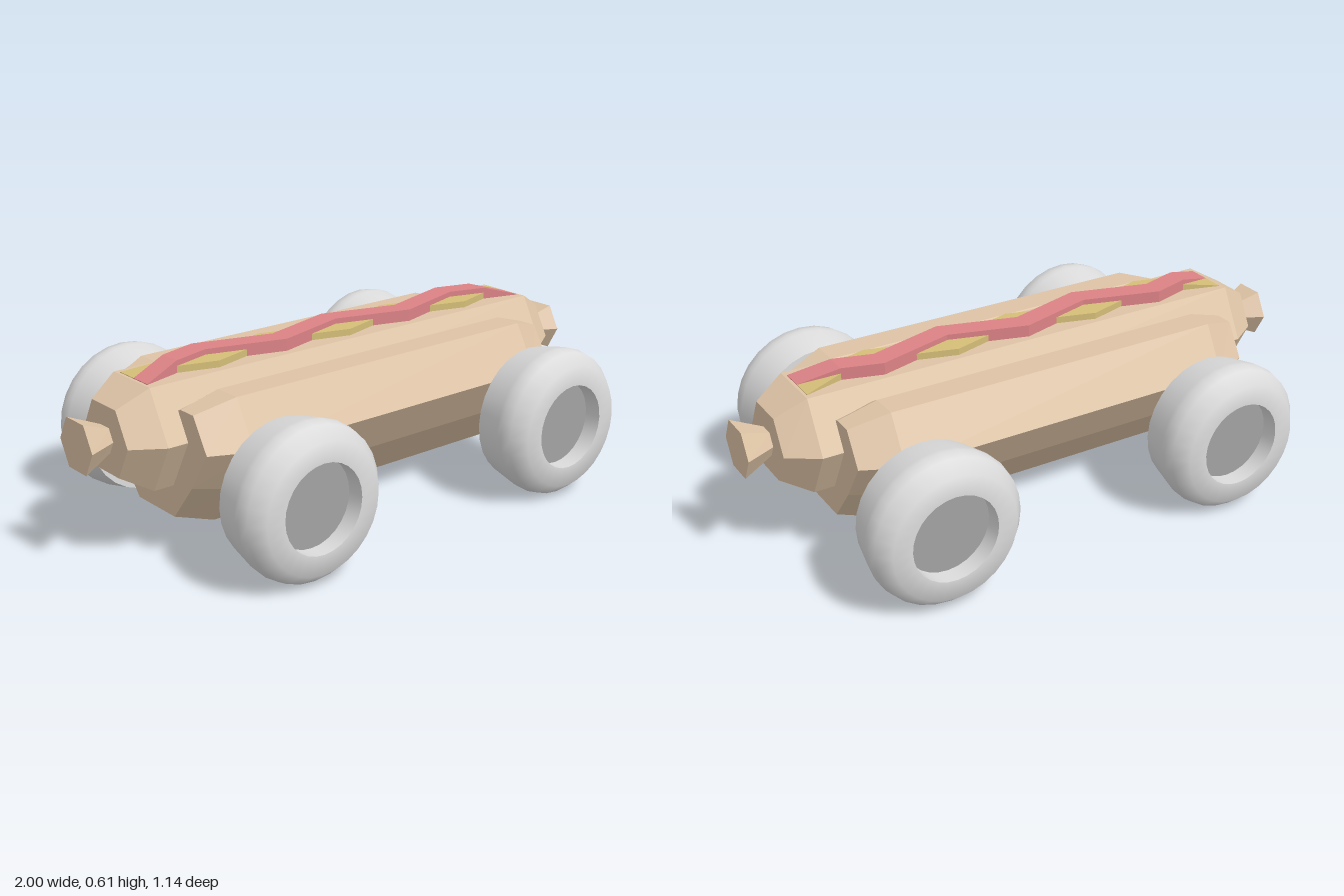
import * as THREE from 'three';
import { toCreasedNormals } from 'three/addons/utils/BufferGeometryUtils.js';

const mat = (name, color, flatShading = false) => {
  const m = new THREE.MeshStandardMaterial({ color, flatShading });
  m.name = name;
  return m;
};

// Skin a row of cross-sections { x, pts: [[z, y], ...] } and close both ends.
function loft(sections) {
  const v = [];
  const put = (...corners) => corners.forEach(([x, [z, y]]) => v.push(x, y, z));
  const n = sections[0].pts.length;
  for (let i = 0; i < sections.length - 1; i++) {
    const s = sections[i], t = sections[i + 1];
    for (let j = 0; j < n; j++) {
      const k = (j + 1) % n;
      const a = [s.x, s.pts[j]], b = [t.x, t.pts[j]], c = [t.x, t.pts[k]], d = [s.x, s.pts[k]];
      put(a, b, c, a, c, d);
    }
  }
  [sections[0], sections[sections.length - 1]].forEach(({ x, pts }, end) => {
    const mid = [0, 1].map((q) => pts.reduce((sum, p) => sum + p[q], 0) / n);
    for (let j = 0; j < n; j++) {
      const k = (j + 1) % n;
      put([x, mid], [x, pts[end ? k : j]], [x, pts[end ? j : k]]);
    }
  });
  const g = new THREE.BufferGeometry();
  g.setAttribute('position', new THREE.Float32BufferAttribute(v, 3));
  g.computeVertexNormals();
  return g;
}

const ZC = 0.01; // body centre line

// Mirror a half outline, listed bottom to top, about the centre line.
const mirrored = (half) => [
  ...half.map(([z, y]) => [ZC + z, y]),
  ...half.slice().reverse().map(([z, y]) => [ZC - z, y]),
];

const hexagon = (r, h) => [[r, 0], [r * 0.53, h], [-r * 0.53, h], [-r, 0], [-r * 0.53, -h], [r * 0.53, -h]]
  .map(([z, y]) => [ZC + z, 0.41 + y]);

// Zigzag sauce strip that tapers down at both ends.
function sauce(sign, top) {
  const sections = [];
  for (let i = -6; i <= 6; i++) {
    const x = i * 0.1317;
    const wave = i % 2 ? 0 : ((Math.abs(i) / 2) % 2 ? 1 : -1);
    const z = 0.007 + sign * wave * 0.038;
    const y = Math.abs(i) === 6 ? 0.577 : top;
    sections.push({ x, pts: [[z + 0.038, 0.57], [z + 0.038, y], [z - 0.038, y], [z - 0.038, 0.57]] });
  }
  return loft(sections);
}

export function createModel() {
  const group = new THREE.Group();
  group.name = 'hotDogCar';
  const bread = mat('bread', 0xdec4a6, true);
  const red = mat('ketchup red', 0xdc8386, true);
  const yellow = mat('mustard yellow', 0xd5be78, true);
  const white = mat('tyre light grey', 0xdcdcdc);
  const grey = mat('metal grey', 0xa3a3a3);
  const add = (name, geometry, material, parent = group) => {
    const mesh = new THREE.Mesh(geometry, material);
    mesh.name = name;
    parent.add(mesh);
    return mesh;
  };

  // Bun with chamfered ends
  const full = mirrored([[0.122, 0.1], [0.245, 0.245], [0.345, 0.395], [0.26, 0.545], [0.165, 0.545], [0.115, 0.515]]);
  const tip = mirrored([[0.1, 0.14], [0.2, 0.265], [0.285, 0.395], [0.22, 0.505], [0.155, 0.505], [0.105, 0.485]]);
  add('bun', loft([{ x: -0.73, pts: tip }, { x: -0.6, pts: full }, { x: 0.6, pts: full }, { x: 0.73, pts: tip }]), bread);

  // Sausage with pinched, flared ends
  const profile = [[0.8, 0.19, 0.165], [0.9, 0.125, 0.108], [0.9, 0.045, 0.04], [1, 0.093, 0.08]];
  const ring = (s) => ([x, r, h]) => ({ x: s * x, pts: hexagon(r, h) });
  add('sausage', loft([...profile.slice().reverse().map(ring(-1)), ...profile.map(ring(1))]), bread);

  // Sauces
  add('ketchup', sauce(1, 0.615), red);
  add('mustard', sauce(-1, 0.597), yellow);

  // Wheels and axles
  const tyre = toCreasedNormals(new THREE.LatheGeometry(
    [[0, 0.365], [0.23, 0.365], [0.253, 0.47], [0.255, 0.49], [0.248, 0.525], [0.21, 0.57], [0.145, 0.57], [0.145, 0.505]]
      .map(([r, y]) => new THREE.Vector2(r, y)), 28).rotateX(Math.PI / 2), 0.9);
  const hub = new THREE.CircleGeometry(0.147, 28).translate(0, 0, 0.51);
  const axle = new THREE.CylinderGeometry(0.052, 0.052, 0.75, 20).rotateX(Math.PI / 2);
  for (const x of [-0.51, 0.56]) {
    add('axle', axle, grey).position.set(x, 0.247, 0);
    for (const side of [1, -1]) {
      const wheel = new THREE.Group();
      wheel.name = 'wheel';
      wheel.position.set(x, 0.258, 0);
      wheel.rotation.y = side > 0 ? 0 : Math.PI;
      add('tyre', tyre, white, wheel);
      add('hub', hub, grey, wheel);
      group.add(wheel);
    }
  }
  return group;
}
